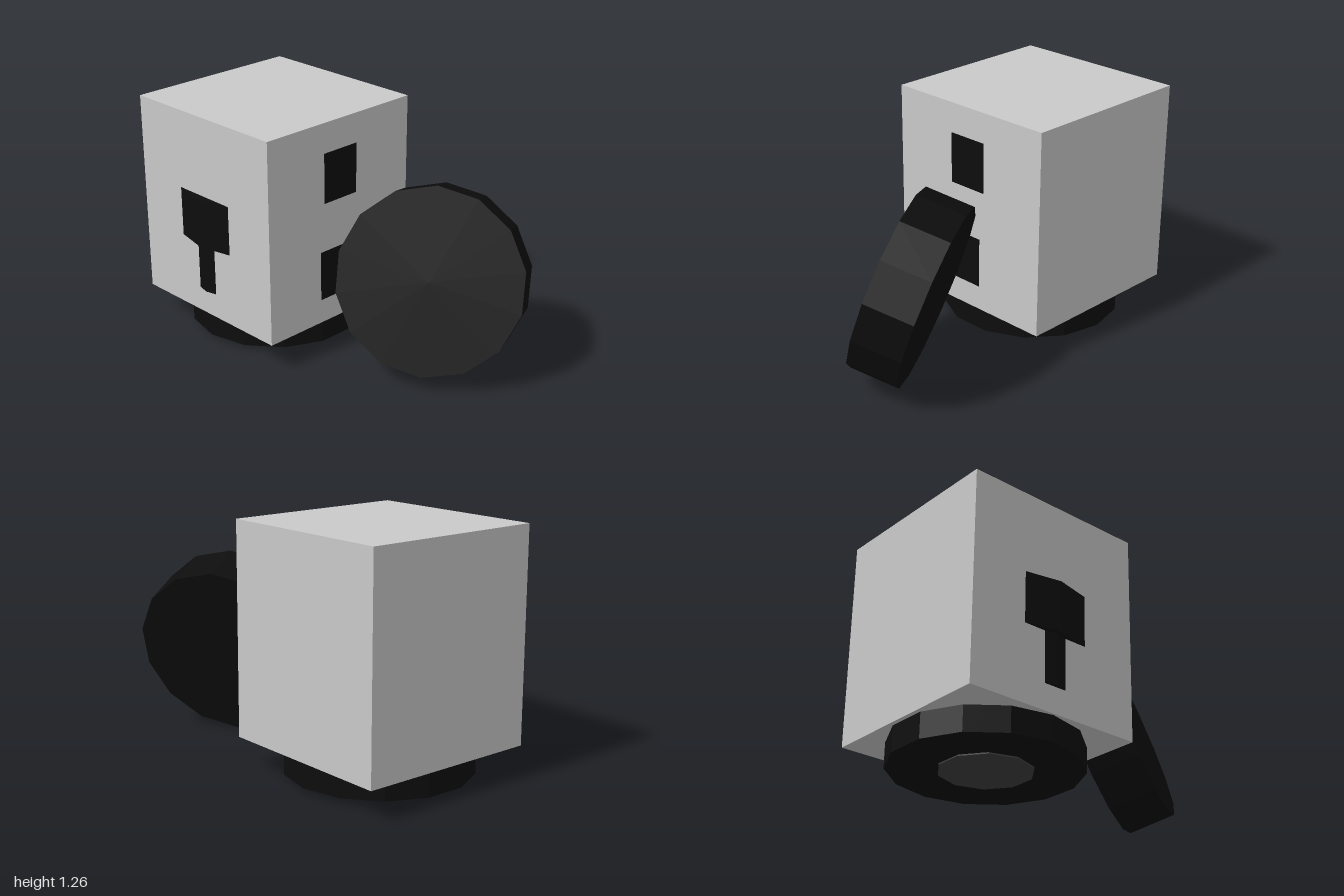
import * as THREE from 'three';

export function createModel() {
  const model = new THREE.Group();
  const grey = new THREE.MeshStandardMaterial({ color: 0xc9c9c9, flatShading: true });
  grey.name = 'light grey';
  const black = new THREE.MeshStandardMaterial({ color: 0x0d0d0d, flatShading: true });
  black.name = 'black';
  const charcoal = new THREE.MeshStandardMaterial({ color: 0x3e3e40, flatShading: true });
  charcoal.name = 'charcoal';

  function add(name, geometry, material, x, y, z) {
    const mesh = new THREE.Mesh(geometry, material);
    mesh.name = name;
    mesh.position.set(x, y, z);
    model.add(mesh);
    return mesh;
  }

  // Block body
  add('body', new THREE.BoxGeometry(0.99, 1.105, 0.99), grey, -0.505, 0.7125, -0.01);

  // Two equal fourteen-sided discs: one under the body, one leaning beside it
  const disc = new THREE.CylinderGeometry(0.483, 0.483, 0.26, 14);
  add('baseDisc', disc, black, -0.505, 0.157, -0.01);
  const leaning = add('leaningDisc', disc, black, 0.5125, 0.5, -0.152);
  leaning.rotation.set(THREE.MathUtils.degToRad(72), THREE.MathUtils.degToRad(30), 0, 'YXZ');

  // Hub under the base disc
  add('baseHub', new THREE.CylinderGeometry(0.237, 0.237, 0.04, 10), charcoal, -0.505, 0.04, -0.008);

  // Front nose and mouth: shallow wedges with a vertical ridge
  function wedge(name, halfWidth, depth, y) {
    const shape = new THREE.Shape([
      new THREE.Vector2(-halfWidth, 0.01),
      new THREE.Vector2(halfWidth, 0.01),
      new THREE.Vector2(halfWidth, 0),
      new THREE.Vector2(0, -depth),
      new THREE.Vector2(-halfWidth, 0),
    ]);
    const geometry = new THREE.ExtrudeGeometry(shape, { depth: 0.27, bevelEnabled: false });
    geometry.rotateX(-Math.PI / 2);
    add(name, geometry, black, -0.505, y, 0.485);
  }
  wedge('upperFrontWedge', 0.187, 0.04, 0.565);
  wedge('lowerFrontWedge', 0.064, 0.015, 0.297);

  // Thin square plates on the side facing the leaning disc
  const plate = new THREE.BoxGeometry(0.008, 0.27, 0.225);
  add('upperSidePlate', plate, black, -0.01, 0.968, -0.007);
  add('lowerSidePlate', plate, black, -0.01, 0.43, 0.02);

  return model;
}
